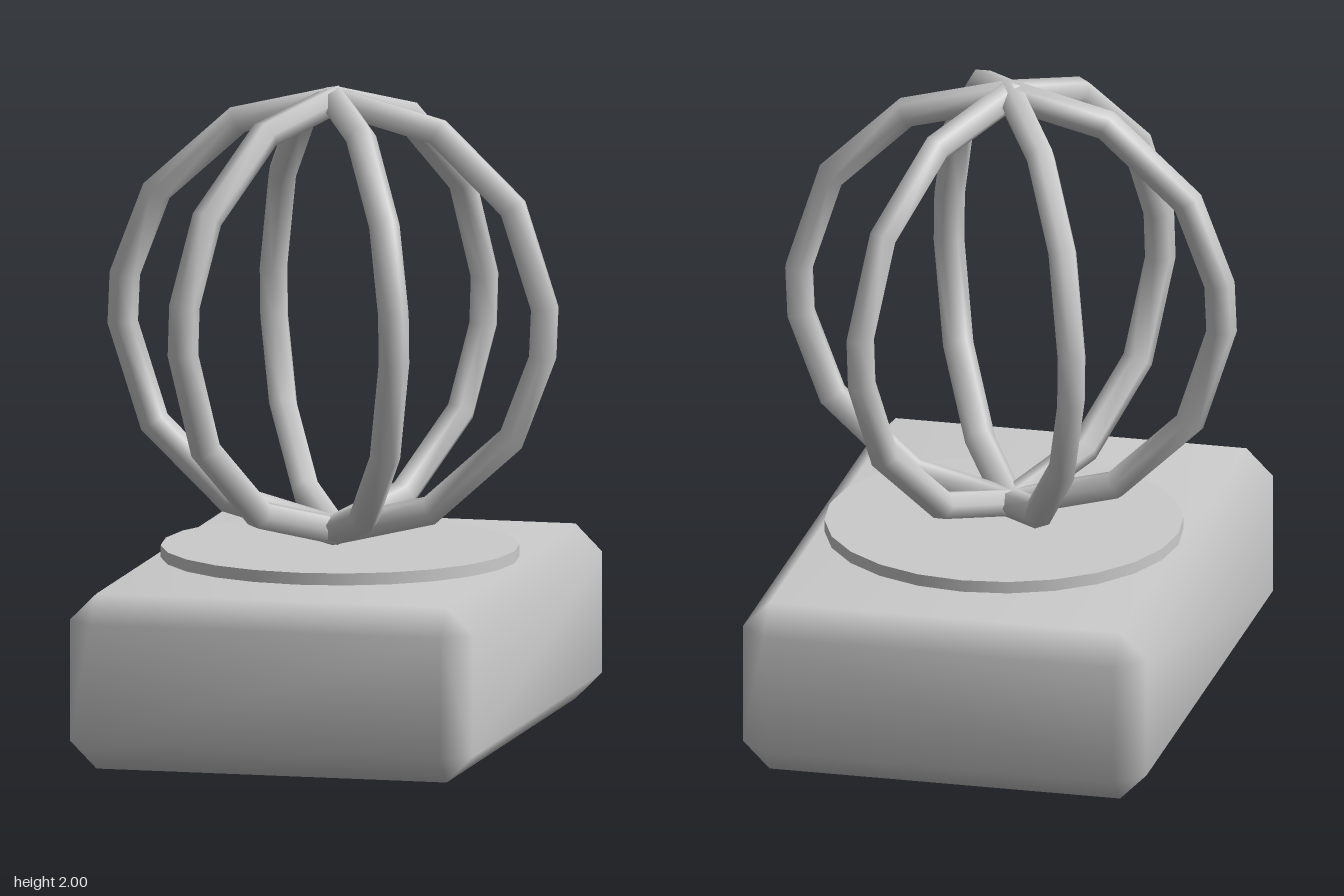
import * as THREE from 'three';
import { ConvexGeometry } from 'three/addons/geometries/ConvexGeometry.js';
import { mergeVertices } from 'three/addons/utils/BufferGeometryUtils.js';

const grey = new THREE.MeshStandardMaterial({ color: 0xcccccc });

// Box with single flat chamfers and softened normals
function chamferedBox(w, h, d, c) {
  const points = [];
  for (const sx of [-1, 1]) for (const sy of [-1, 1]) for (const sz of [-1, 1]) {
    for (let axis = 0; axis < 3; axis++) {
      const inset = [0, 1, 2].map((i) => (i === axis ? 0 : c));
      points.push(new THREE.Vector3(
        sx * (w / 2 - inset[0]), sy * (h / 2 - inset[1]), sz * (d / 2 - inset[2])));
    }
  }
  let geometry = new ConvexGeometry(points);
  geometry.deleteAttribute('normal');
  geometry = mergeVertices(geometry, 1e-4);
  geometry.computeVertexNormals();
  return geometry;
}

// Low-poly hoop whose joints are unevenly spaced, repeating every half turn
function hoopGeometry(radius, tube, sides) {
  const half = [4, 32, 60.5, 90, 117, 147, 171];
  const angles = [...half, ...half.map((a) => a + 180), 364];
  const geometry = new THREE.TorusGeometry(radius, tube, sides, angles.length - 1);
  const { position, normal } = geometry.attributes;
  for (let i = 0; i < position.count; i++) {
    const u = THREE.MathUtils.degToRad(angles[i % angles.length]);
    const v = (Math.floor(i / angles.length) / sides) * Math.PI * 2 + 0.35;
    const r = radius + tube * Math.cos(v);
    position.setXYZ(i, r * Math.cos(u), r * Math.sin(u), tube * Math.sin(v));
    normal.setXYZ(i, Math.cos(v) * Math.cos(u), Math.cos(v) * Math.sin(u), Math.sin(v));
  }
  return geometry;
}

export function createModel() {
  const group = new THREE.Group();
  const add = (name, geometry, x, y, z) => {
    const mesh = new THREE.Mesh(geometry, grey);
    mesh.name = name;
    mesh.position.set(x, y, z);
    group.add(mesh);
    return mesh;
  };

  // Plinth and the thin disc on top of it
  add('base', chamferedBox(1.265, 0.54, 1.8, 0.083), 0.012, 0.27, 0);
  add('disc', new THREE.CylinderGeometry(0.547, 0.547, 0.04, 24), 0.015, 0.557, -0.04);

  // Three upright hoops crossing at the poles
  const hoop = hoopGeometry(0.664, 0.047, 6);
  for (let i = 0; i < 3; i++) {
    add('hoop' + (i + 1), hoop, 0, 1.288, -0.02).rotation.y = (i * Math.PI) / 3;
  }
  return group;
}
